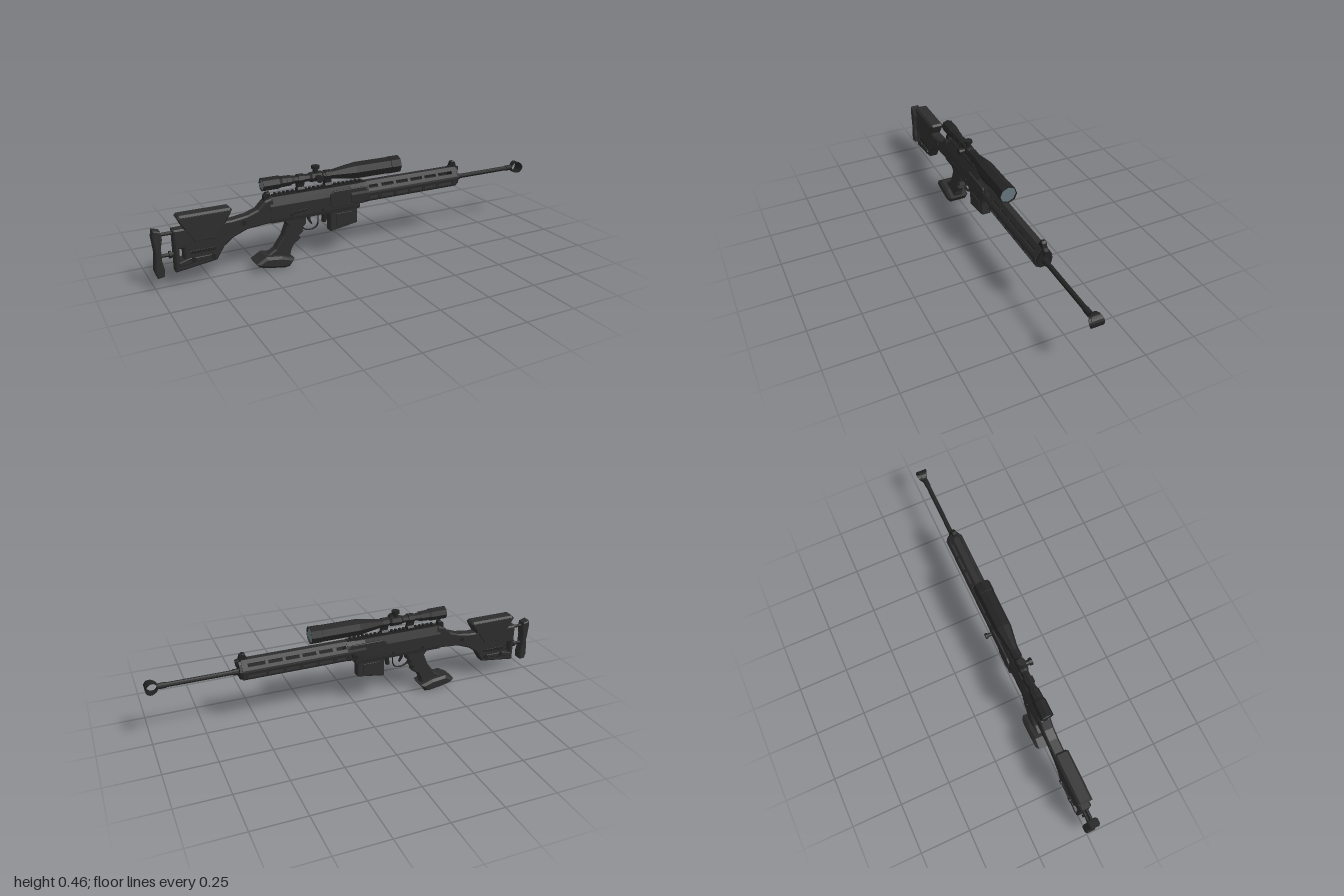
import * as THREE from 'three';

const body = new THREE.MeshStandardMaterial({ color: 0x2c2c2c });
body.name = 'charcoal polymer';
const metal = new THREE.MeshStandardMaterial({ color: 0x222222 });
metal.name = 'black metal';
const glass = new THREE.MeshStandardMaterial({ color: 0x64757b });
glass.name = 'lens glass';

export function createModel() {
  const model = new THREE.Group();
  model.name = 'rifle';
  const core = new THREE.Group();
  core.name = 'rifleCore';
  core.position.z = 0.011;
  model.add(core);

  // Faceted mesh
  const add = (name, geometry, material, x = 0, y = 0, z = 0) => {
    const g = geometry.index ? geometry.toNonIndexed() : geometry;
    g.computeVertexNormals();
    const mesh = new THREE.Mesh(g, material);
    mesh.name = name;
    mesh.position.set(x, y, z);
    core.add(mesh);
    return mesh;
  };
  const toShape = (pts) => new THREE.Shape(pts.map(([a, b]) => new THREE.Vector2(a, b)));
  const box = (name, m, x0, x1, y0, y1, half, z = 0) =>
    add(name, new THREE.BoxGeometry(x1 - x0, y1 - y0, half * 2), m, (x0 + x1) / 2, (y0 + y1) / 2, z);
  // Side outline (x, y) given a thickness across z, with chamfered edges
  const slab = (name, m, pts, half, bevel = 0.006, z = 0, holes = []) => {
    const shape = toShape(pts);
    holes.forEach((h) => shape.holes.push(toShape(h)));
    const g = new THREE.ExtrudeGeometry(shape, {
      depth: 2 * (half - bevel), bevelEnabled: bevel > 0, bevelThickness: bevel,
      bevelSize: bevel, bevelOffset: -bevel, bevelSegments: 1, curveSegments: 8 });
    g.translate(0, 0, bevel - half);
    return add(name, g, m, 0, 0, z);
  };
  // Cross-section (z, y) extruded along x
  const alongX = (name, m, pts, x0, x1) => {
    const g = new THREE.ExtrudeGeometry(toShape(pts), { depth: x1 - x0, bevelEnabled: false });
    g.rotateY(Math.PI / 2);
    return add(name, g, m, x0, 0, 0);
  };
  const mirrored = (half) => [...half, ...half.map(([z, y]) => [-z, y]).reverse()];
  const turnedX = (name, m, profile, y, sides = 8) => {
    const g = new THREE.LatheGeometry(profile.map(([x, r]) => new THREE.Vector2(r, x)), sides);
    g.rotateZ(-Math.PI / 2);
    return add(name, g, m, 0, y, 0);
  };
  const rod = (name, m, x0, x1, y, r, z = 0, sides = 10) => {
    const g = new THREE.CylinderGeometry(r, r, x1 - x0, sides);
    g.rotateZ(Math.PI / 2);
    return add(name, g, m, (x0 + x1) / 2, y, z);
  };
  const knob = (name, m, x, y, z, r, depth) => {
    const g = new THREE.CylinderGeometry(r, r, depth, 10);
    g.rotateX(Math.PI / 2);
    return add(name, g, m, x, y, z);
  };

  // Receiver
  alongX('receiver', body, mirrored([[0.027, 0.224], [0.031, 0.24], [0.031, 0.305], [0.016, 0.346]]), -0.46, 0.0);
  alongX('receiverFront', body, mirrored([[0.03, 0.25], [0.04, 0.262], [0.042, 0.3], [0.032, 0.33], [0.014, 0.346]]), -0.05, 0.045);
  for (const s of [-1, 1]) {
    slab('receiverSidePanel', body, [[-0.16, 0.262], [-0.14, 0.25], [0.02, 0.25], [0.04, 0.27], [0.04, 0.315], [0.02, 0.332], [-0.14, 0.332], [-0.16, 0.318]], 0.005, 0.002, s * 0.033);
    knob('receiverPin', metal, -0.36, 0.25, s * 0.031, 0.008, 0.006);
    knob('receiverPin', metal, -0.2, 0.25, s * 0.031, 0.007, 0.006);
  }
  slab('selectorLever', metal, [[-0.36, 0.265], [-0.35, 0.255], [-0.28, 0.262], [-0.28, 0.272]], 0.004, 0.001, 0.034);

  // Top rail with teeth
  box('rail', metal, -0.44, 0.04, 0.338, 0.351, 0.014);
  for (let x = -0.43; x < 0.03; x += 0.022) box('railTooth', metal, x, x + 0.012, 0.35, 0.359, 0.014);
  slab('rearSight', metal, [[-0.485, 0.335], [-0.445, 0.335], [-0.45, 0.352], [-0.455, 0.37], [-0.472, 0.37], [-0.485, 0.355]], 0.013, 0.003);

  // Charging handle
  knob('chargingHandleStem', metal, 0.02, 0.286, -0.052, 0.009, 0.03);
  knob('chargingHandleKnob', metal, 0.02, 0.286, -0.068, 0.014, 0.012);

  // Magazine
  slab('magazine', body, [[-0.155, 0.24], [-0.155, 0.128], [-0.012, 0.15], [-0.012, 0.255]], 0.025, 0.004);
  for (const s of [-1, 1])
    slab('magazineRib', body, [[-0.125, 0.215], [-0.125, 0.145], [-0.04, 0.158], [-0.04, 0.215]], 0.003, 0.001, s * 0.026);
  slab('magazineCatch', metal, [[-0.185, 0.23], [-0.19, 0.178], [-0.175, 0.175], [-0.163, 0.23]], 0.012, 0.002);

  // Trigger and its guard
  const guard = new THREE.CatmullRomCurve3([[-0.3, 0.228], [-0.298, 0.175], [-0.28, 0.155], [-0.24, 0.15], [-0.216, 0.165], [-0.21, 0.228]]
    .map(([x, y]) => new THREE.Vector3(x, y, 0)));
  const guardGeometry = new THREE.TubeGeometry(guard, 20, 0.003, 4);
  guardGeometry.scale(1, 1, 2.5);
  add('triggerGuard', guardGeometry, metal);
  slab('trigger', metal, [[-0.275, 0.228], [-0.262, 0.195], [-0.248, 0.175], [-0.243, 0.18], [-0.252, 0.2], [-0.255, 0.228]], 0.006, 0.001);

  // Grip with finger swells and a flared foot
  slab('grip', body, [[-0.4, 0.23], [-0.378, 0.2], [-0.4, 0.145], [-0.44, 0.09], [-0.49, 0.06], [-0.46, 0.03], [-0.37, 0.03],
    [-0.362, 0.07], [-0.345, 0.1], [-0.312, 0.122], [-0.318, 0.14], [-0.296, 0.155], [-0.302, 0.172], [-0.283, 0.19], [-0.28, 0.23]], 0.025, 0.007);
  slab('gripFoot', body, [[-0.545, 0.042], [-0.495, 0.07], [-0.42, 0.06], [-0.355, 0.037], [-0.38, 0.003], [-0.405, 0], [-0.48, 0.012], [-0.53, 0.025]], 0.055, 0.012);

  // Stock
  slab('stock', body, [[-0.45, 0.346], [-0.485, 0.335], [-0.52, 0.3], [-0.57, 0.282], [-0.64, 0.272], [-0.91, 0.272], [-0.91, 0.073],
    [-0.72, 0.098], [-0.685, 0.155], [-0.64, 0.19], [-0.57, 0.217], [-0.48, 0.224], [-0.4, 0.226]], 0.027, 0.007, 0,
  [[[-0.888, 0.12], [-0.868, 0.12], [-0.868, 0.18], [-0.888, 0.18]]]);
  slab('stockLowerRail', body, [[-0.895, 0.1], [-0.74, 0.118], [-0.73, 0.132], [-0.85, 0.132], [-0.895, 0.118]], 0.032, 0.003);
  for (const s of [-1, 1]) {
    for (const x of [-0.83, -0.74]) knob('stockKnob', metal, x, 0.122, s * 0.031, 0.012, 0.008);
    slab('stockSideRecess', metal, [[-0.84, 0.15], [-0.73, 0.15], [-0.72, 0.165], [-0.84, 0.165]], 0.003, 0.001, s * 0.027);
    knob('slingSocket', metal, -0.59, 0.25, s * 0.026, 0.012, 0.006);
    slab('cheekSide', body, [[-0.89, 0.325], [-0.645, 0.325], [-0.725, 0.208], [-0.82, 0.208]], 0.004, 0.002, s * 0.031);
  }
  slab('cheekRest', body, [[-0.89, 0.325], [-0.88, 0.335], [-0.65, 0.335], [-0.64, 0.325], [-0.675, 0.265], [-0.86, 0.265]], 0.034, 0.009);

  // Butt pad on two adjusting rods
  for (const y of [0.255, 0.155]) rod('buttRod', metal, -0.97, -0.9, y, 0.008);
  add('rodWheel', new THREE.CylinderGeometry(0.016, 0.016, 0.012, 10).rotateZ(Math.PI / 2), metal, -0.925, 0.155);
  slab('buttPad', body, [[-0.995, 0.285], [-0.963, 0.275], [-0.958, 0.24], [-0.966, 0.2], [-0.966, 0.14], [-0.958, 0.1], [-0.96, 0.065], [-0.99, 0.06], [-1, 0.09], [-0.992, 0.17], [-1, 0.25]], 0.025, 0.005);

  // Slotted handguard: continuous bars joined by posts between the slots
  const x0 = 0.04, x1 = 0.562;
  alongX('handguardTop', body, mirrored([[0.024, 0.332], [0.014, 0.349]]), x0, x1);
  alongX('handguardBottom', body, mirrored([[0.026, 0.25], [0.036, 0.258], [0.038, 0.265]]), x0, x1);
  const posts = [[x0, 0.05], [0.1, 0.12], [0.535, x1]];
  for (let i = 1; i < 5; i++) posts.push([0.105 + i * 0.083, 0.12 + i * 0.083]);
  for (const s of [-1, 1]) {
    const wall = (name, pts, a, b) => alongX(name, body, pts.map(([z, y]) => [s * z, y]), a, b);
    wall('handguardSide', [[0.04, 0.28], [0.043, 0.295], [0.041, 0.304], [0.033, 0.318], [0.028, 0.318], [0.036, 0.298], [0.034, 0.28]], x0, x1);
    for (const [a, b] of posts) {
      wall('handguardUpperPost', [[0.033, 0.318], [0.024, 0.333], [0.018, 0.333], [0.028, 0.318]], a, b);
      wall('handguardLowerPost', [[0.038, 0.264], [0.04, 0.281], [0.034, 0.281], [0.032, 0.264]], a, b);
    }
  }
  alongX('handguardCap', metal, mirrored([[0.022, 0.256], [0.034, 0.27], [0.037, 0.296], [0.022, 0.328], [0.012, 0.342]]), 0.55, 0.574);

  // Front sight
  slab('frontSight', metal, [[0.525, 0.345], [0.585, 0.318], [0.588, 0.345], [0.572, 0.352], [0.566, 0.372], [0.555, 0.38], [0.541, 0.377], [0.535, 0.36]], 0.012, 0.003);

  // Barrel and muzzle loop that flares towards its end
  rod('barrel', metal, 0.03, 0.945, 0.288, 0.0115);
  rod('barrelCollar', metal, 0.57, 0.6, 0.288, 0.015);
  rod('muzzleCollar', metal, 0.905, 0.94, 0.288, 0.014);
  const loop = new THREE.Shape().absarc(0, 0, 0.03, 0, Math.PI * 2);
  loop.holes.push(new THREE.Path().absarc(0, 0, 0.025, 0, Math.PI * 2, true));
  const muzzle = new THREE.ExtrudeGeometry(loop, { depth: 2, bevelEnabled: false, curveSegments: 10 });
  muzzle.translate(0, 0, -1);
  const p = muzzle.attributes.position;
  for (let i = 0; i < p.count; i++) p.setZ(i, p.getZ(i) * (0.019 + p.getX(i) * 0.35));
  add('muzzleLoop', muzzle, metal, 0.97, 0.288);

  // Scope
  const sy = 0.409;
  turnedX('scopeTube', metal, [[-0.482, 0], [-0.482, 0.028], [-0.49, 0.028], [-0.49, 0.032], [-0.41, 0.032], [-0.395, 0.027], [-0.375, 0.027],
    [-0.33, 0.019], [-0.17, 0.019], [-0.14, 0.022], [-0.02, 0.042], [0.17, 0.042], [0.172, 0.044], [0.225, 0.044], [0.225, 0.041], [0.216, 0.041], [0.216, 0]], sy);
  turnedX('zoomRing', metal, [[-0.375, 0.019], [-0.375, 0.026], [-0.35, 0.026], [-0.35, 0.019]], sy);
  turnedX('turretBlock', metal, [[-0.255, 0.019], [-0.245, 0.025], [-0.195, 0.025], [-0.185, 0.019]], sy);
  const lens = (name, x, r, dir) => add(name, new THREE.CircleGeometry(r, 8).rotateY(dir * Math.PI / 2), glass, x, sy);
  lens('frontLens', 0.2175, 0.041, 1);
  lens('rearLens', -0.4835, 0.028, -1);
  add('elevationStem', new THREE.CylinderGeometry(0.013, 0.013, 0.025, 10), metal, -0.22, 0.44);
  add('elevationTurret', new THREE.CylinderGeometry(0.02, 0.02, 0.014, 10), metal, -0.22, 0.455);
  knob('windageStem', metal, -0.22, sy, 0.032, 0.013, 0.024);
  knob('windageTurret', metal, -0.22, sy, 0.047, 0.018, 0.014);

  // Scope mounts
  for (const x of [-0.3, -0.16]) {
    rod('mountRing', metal, x - 0.015, x + 0.015, sy, 0.025, 0, 8);
    alongX('mountFoot', metal, mirrored([[0.016, 0.35], [0.018, 0.362], [0.01, 0.372], [0.012, 0.395]]), x - 0.017, x + 0.017);
  }
  return model;
}
